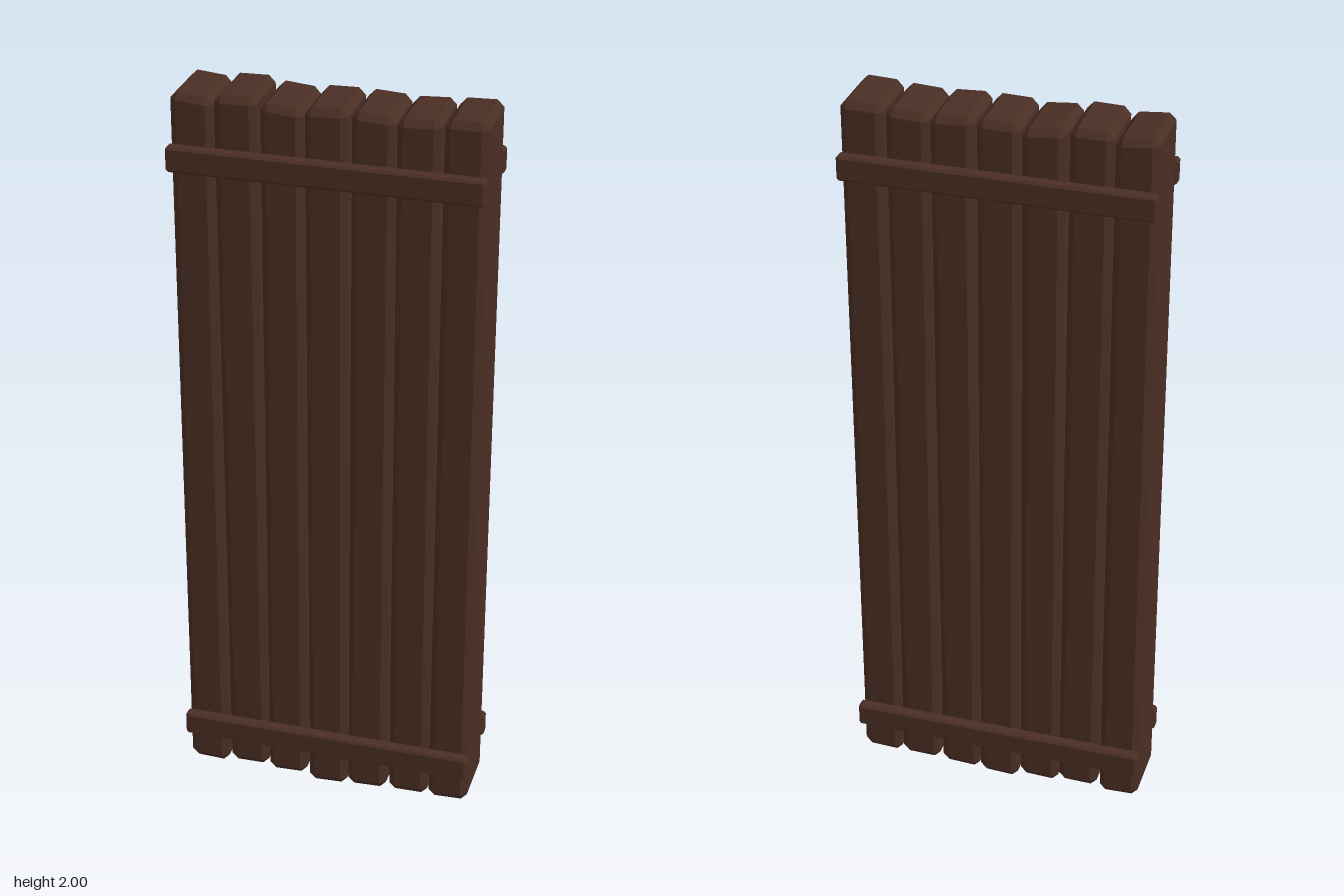
import * as THREE from 'three';
import { ConvexGeometry } from 'three/addons/geometries/ConvexGeometry.js';

// Box with every edge chamfered; "move" may shift each corner point
function chamferedBox(w, h, d, bx, by, bz, move = () => {}) {
  const points = [];
  for (const sx of [-1, 1]) for (const sy of [-1, 1]) for (const sz of [-1, 1]) {
    const x = w / 2, y = h / 2, z = d / 2;
    for (const [px, py, pz] of [[x, y - by, z - bz], [x - bx, y, z - bz], [x - bx, y - by, z]]) {
      const p = new THREE.Vector3(sx * px, sy * py, sz * pz);
      move(p);
      points.push(p);
    }
  }
  return new ConvexGeometry(points);
}

export function createModel() {
  const group = new THREE.Group();
  const darkWood = new THREE.MeshStandardMaterial({ color: 0x4a2e24 });

  // Upright planks: bottom, top, then how far top and bottom ends tilt across x, and lean in x
  const planks = [
    [0.012, 1.995, -0.010, -0.004, 0.001],
    [0.022, 2.000, 0.003, 0.002, -0.002],
    [0.014, 1.990, -0.010, 0.004, 0.001],
    [0.000, 1.992, 0.003, 0.005, -0.001],
    [0.008, 1.992, -0.006, 0.005, 0.002],
    [0.014, 1.990, 0.006, 0.002, -0.001],
    [0.014, 1.997, 0.004, 0.004, 0.001],
  ];
  planks.forEach(([bottom, top, topTilt, bottomTilt, lean], i) => {
    const w = 0.108, h = top - bottom;
    const geometry = chamferedBox(w, h, 0.184, 0.017, 0.018, 0.014, (p) => {
      const across = p.x / w;
      // Tilt the sawn ends inwards only, so the plank keeps its length
      if (p.y > 0) p.y += topTilt * across - Math.abs(topTilt) * 0.35;
      else p.y += bottomTilt * across + Math.abs(bottomTilt) * 0.35;
      p.x += lean * Math.sign(p.y);
    });
    const plank = new THREE.Mesh(geometry, darkWood);
    plank.name = `plank${i + 1}`;
    plank.position.set((i - 3) * 0.1142, (top + bottom) / 2, -0.001);
    group.add(plank);
  });

  // Cross battens, upper and lower, on both faces
  const battenGeometry = chamferedBox(0.8, 0.066, 0.035, 0.006, 0.006, 0.006);
  for (const [level, y] of [['lower', 0.147], ['upper', 1.832]]) {
    for (const [face, z] of [['Front', 0.105], ['Back', -0.107]]) {
      const batten = new THREE.Mesh(battenGeometry, darkWood);
      batten.name = `${level}${face}Batten`;
      batten.position.set(0, y, z);
      group.add(batten);
    }
  }
  return group;
}
